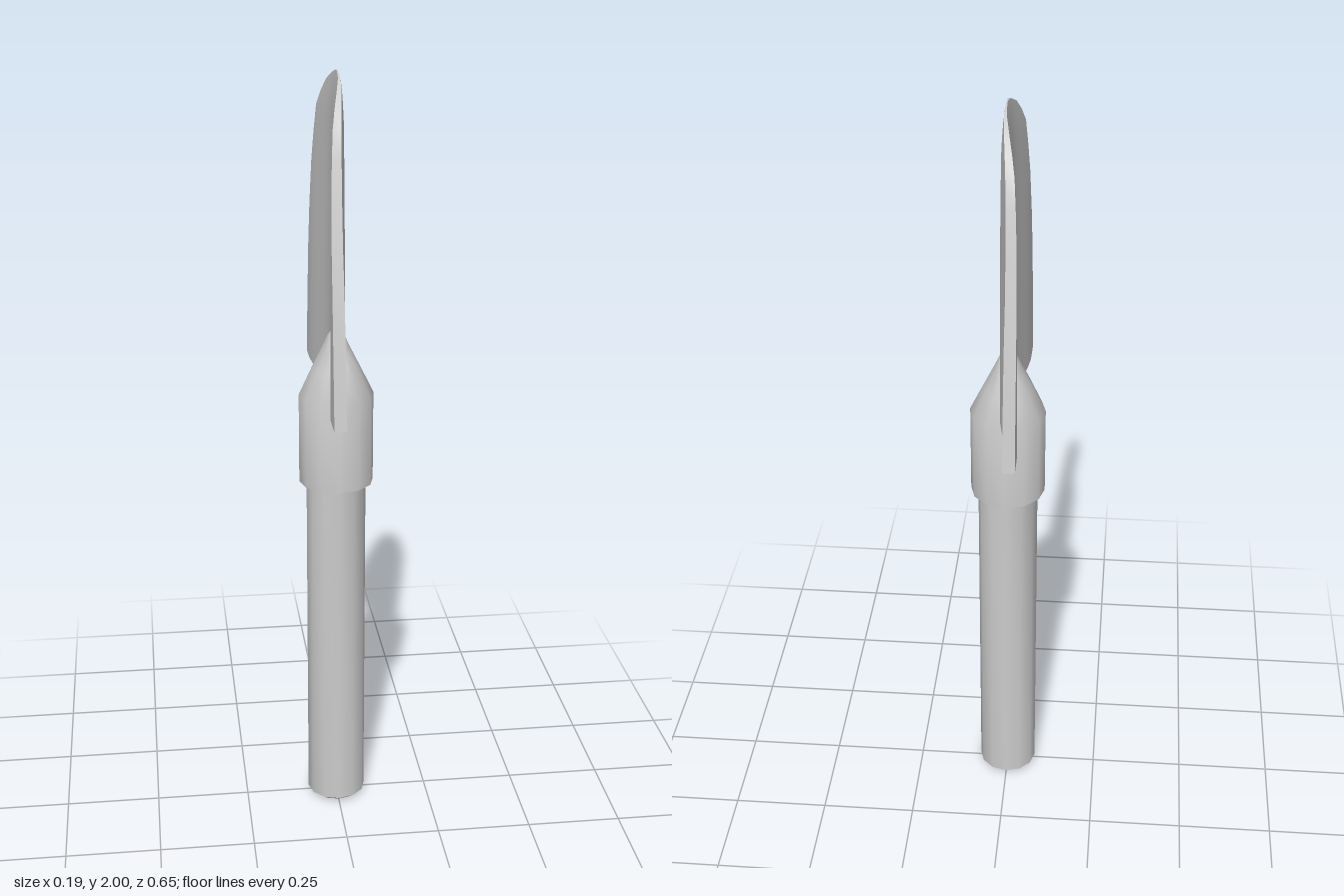
import * as THREE from 'three';
import { toCreasedNormals } from 'three/addons/utils/BufferGeometryUtils.js';

const material = new THREE.MeshStandardMaterial({ color: 0xcccccc });

// Skin a stack of closed rings (bottom to top) and close both ends.
function loft(name, rings, crease) {
  const n = rings[0].length;
  const index = [];
  const quad = (a, b, c, d) => index.push(a, b, c, a, c, d);
  for (let j = 0; j < rings.length - 1; j++) {
    for (let i = 0; i < n; i++) {
      const k = (i + 1) % n;
      quad(j * n + i, (j + 1) * n + i, (j + 1) * n + k, j * n + k);
    }
  }
  // Caps are zipped across the ring, so they suit long thin sections too
  const top = (rings.length - 1) * n;
  for (let i = 0; i < n / 2 - 1; i++) {
    quad(i, i + 1, n - 2 - i, n - 1 - i);
    quad(top + n - 1 - i, top + n - 2 - i, top + i + 1, top + i);
  }
  const geometry = new THREE.BufferGeometry();
  geometry.setAttribute('position', new THREE.Float32BufferAttribute(rings.flat(2), 3));
  geometry.setIndex(index);
  const mesh = new THREE.Mesh(toCreasedNormals(geometry, crease), material);
  mesh.name = name;
  return mesh;
}

// Twelve-sided oval ring with radii rx and rz
function oval(y, rx, rz = rx) {
  return Array.from({ length: 12 }, (_, i) => {
    const a = (i / 12) * Math.PI * 2;
    return [rx * Math.cos(a), y, rz * Math.sin(a)];
  });
}

// Blade section: flat in the middle, both wings swept towards -x
function bladeRing([y, halfWidth, thickness]) {
  const steps = 16;
  const side = (dir) => Array.from({ length: steps + 1 }, (_, i) => {
    const z = dir * halfWidth * ((2 * i) / steps - 1);
    const bow = -0.029 * THREE.MathUtils.smoothstep(Math.abs(z), 0.03, 0.26);
    return [0.002 + bow + (dir * thickness) / 2, y, z];
  });
  return [...side(1), ...side(-1)];
}

export function createModel() {
  const group = new THREE.Group();
  group.name = 'trowel';

  // Round handle with a softened lower end
  group.add(loft('handle', [
    oval(0, 0.062), oval(0.012, 0.078), oval(0.96, 0.078),
  ], 0.8));

  // Socket that tapers to a rounded tongue on the blade
  group.add(loft('socket', [
    oval(0.94, 0.097), oval(1.18, 0.097), oval(1.25, 0.063, 0.078),
    oval(1.31, 0.033, 0.054), oval(1.335, 0.022, 0.033), oval(1.345, 0.017, 0.012),
  ], 0.8));

  // Blade rows: height, half width, thickness
  const rows = [
    [1.195, 0.325, 0.031], [1.35, 0.304, 0.03], [1.5, 0.28, 0.029],
    [1.62, 0.253, 0.027], [1.74, 0.225, 0.025], [1.82, 0.202, 0.023],
    [1.89, 0.18, 0.021], [1.93, 0.147, 0.017], [1.965, 0.108, 0.012],
    [1.99, 0.055, 0.006], [2, 0.01, 0.003],
  ];
  group.add(loft('blade', rows.map(bladeRing), 0.8));

  return group;
}
